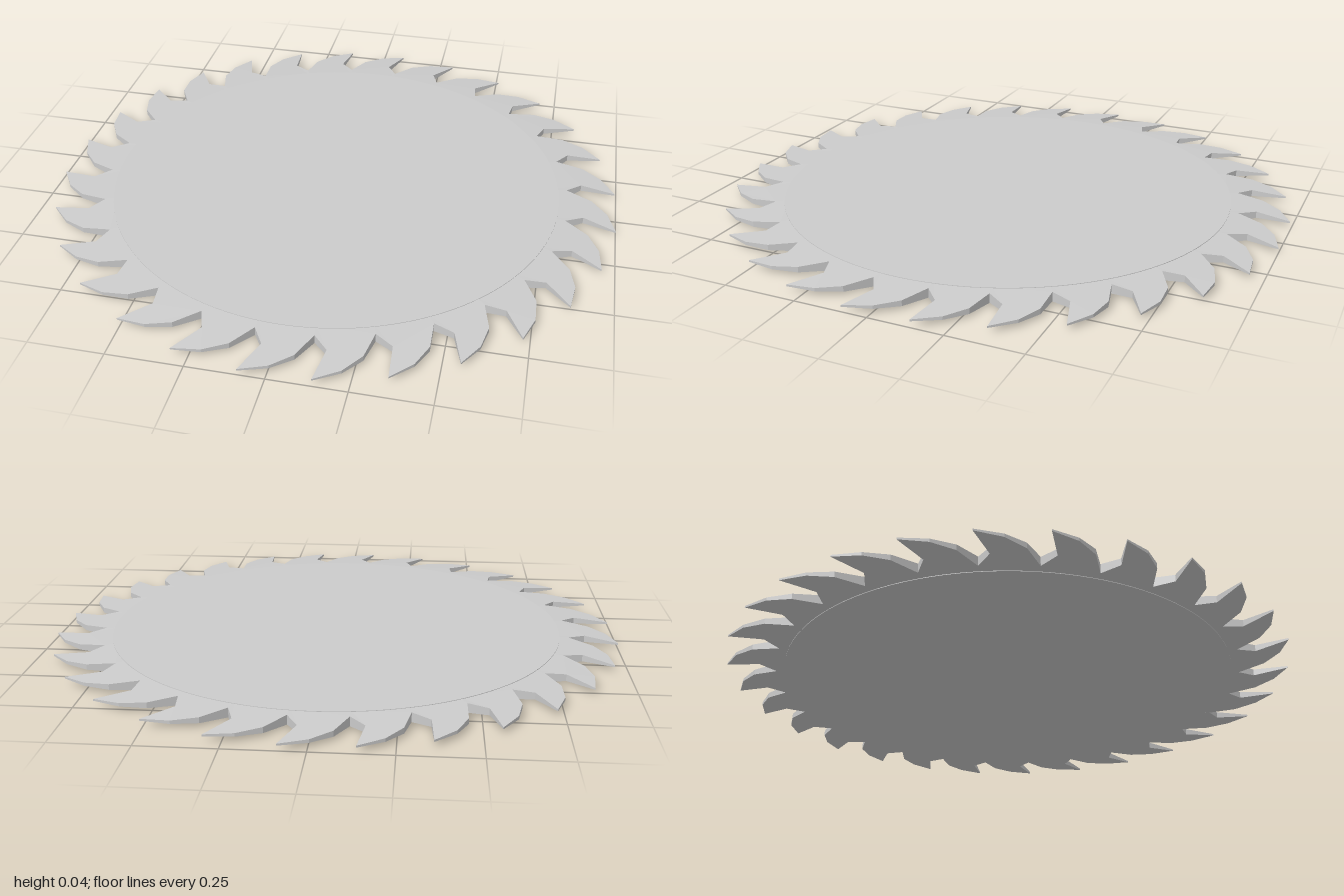
import * as THREE from 'three';

const TEETH = 28;
const MID = 0.019;        // mid-plane height
const BODY_R = 0.8;       // edge of the flat body
const TIP_R = 1.003;

// Tooth outline in polar form: [degrees, radius]
const TOOTH = [
  [-7.56, 0.785], [-7.56, 0.83],                 // root
  [-4.3, 0.915], [-0.2, 0.968],                  // curved back
  [4.9, TIP_R], [2.6, 0.888],                    // tip and hooked cutting face
  [5.3, 0.83], [5.3, 0.785],                     // next gullet
];

// Half thickness tapers from the body to the tip
const halfThickness = (r) =>
  THREE.MathUtils.lerp(0.018, 0.003, THREE.MathUtils.clamp((r - BODY_R) / (TIP_R - BODY_R), 0, 1));

function toothGeometry() {
  const shape = new THREE.Shape(TOOTH.map(([deg, r]) => {
    const a = THREE.MathUtils.degToRad(deg);
    return new THREE.Vector2(r * Math.sin(a), r * Math.cos(a));
  }));
  const geo = new THREE.ExtrudeGeometry(shape, { depth: 1, bevelEnabled: false });
  geo.rotateX(-Math.PI / 2);
  const p = geo.attributes.position;
  for (let i = 0; i < p.count; i++) {
    const side = p.getY(i) > 0.5 ? 1 : -1;
    p.setY(i, MID + side * halfThickness(Math.hypot(p.getX(i), p.getZ(i))));
  }
  geo.computeVertexNormals();
  return geo;
}

export function createModel() {
  const model = new THREE.Group();
  model.name = 'circularSawBlade';
  const steel = new THREE.MeshStandardMaterial({ color: 0xcccccc, flatShading: true });

  // Solid flat body
  const body = new THREE.Mesh(new THREE.CylinderGeometry(BODY_R, BODY_R, MID * 2, 112), steel);
  body.name = 'bladeBody';
  body.position.y = MID;
  model.add(body);

  // Ring of hooked teeth
  const teeth = new THREE.Group();
  teeth.name = 'teeth';
  const geo = toothGeometry();
  for (let i = 0; i < TEETH; i++) {
    const tooth = new THREE.Mesh(geo, steel);
    tooth.name = 'tooth';
    tooth.rotation.y = -i * Math.PI * 2 / TEETH;
    teeth.add(tooth);
  }
  model.add(teeth);
  return model;
}
